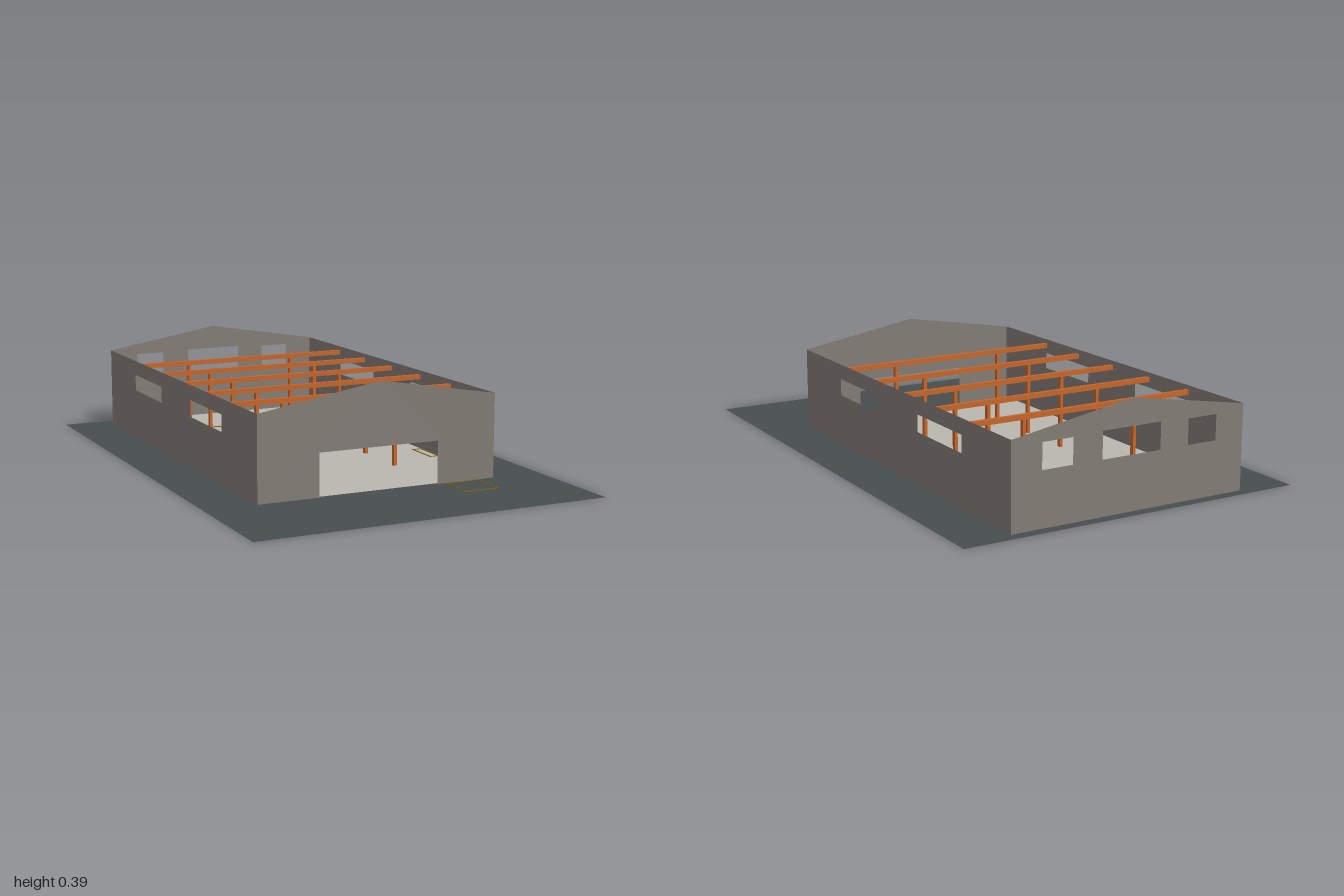
import * as THREE from 'three';

const W = 0.462, FRONT = 0.588, BACK = -0.96, EAVE = 0.31, RIDGE = 0.388;

const mat = (name, color, side = THREE.FrontSide) => {
  const m = new THREE.MeshStandardMaterial({ color, side });
  m.name = name;
  return m;
};

const rectHole = (x0, x1, y0, y1) => new THREE.Path([
  [x0, y0], [x0, y1], [x1, y1], [x1, y0],
].map(([x, y]) => new THREE.Vector2(x, y)));

const panel = (points, holes = []) => {
  const s = new THREE.Shape(points.map(([x, y]) => new THREE.Vector2(x, y)));
  s.holes.push(...holes);
  return new THREE.ShapeGeometry(s);
};

export function createModel() {
  const model = new THREE.Group();
  model.name = 'hall';
  const asphalt = mat('asphalt', 0x474e4d, THREE.DoubleSide);
  const concrete = mat('concrete', 0xbab6b0, THREE.DoubleSide);
  const wall = mat('wall', 0x827b75, THREE.DoubleSide);
  const wood = mat('orange frame', 0xc4652a);
  const olive = mat('olive marking', 0x7a6218);

  const add = (parent, name, geometry, material, x = 0, y = 0, z = 0) => {
    const m = new THREE.Mesh(geometry, material);
    m.name = name;
    m.position.set(x, y, z);
    parent.add(m);
    return m;
  };
  const group = (name) => {
    const g = new THREE.Group();
    g.name = name;
    model.add(g);
    return g;
  };

  // Yard and hall floor
  add(model, 'yard', new THREE.PlaneGeometry(1.31, 2).rotateX(-Math.PI / 2), asphalt);
  add(model, 'floor', new THREE.PlaneGeometry(W * 2, FRONT - BACK).rotateX(-Math.PI / 2),
    concrete, 0, 0.003, (FRONT + BACK) / 2);

  // Front gable with a door notch, back gable with three windows
  const roofline = [[W, 0], [W, EAVE], [0, RIDGE], [-W, EAVE], [-W, 0]];
  const door = [[-0.231, 0], [-0.231, 0.157], [0.231, 0.157], [0.231, 0]];
  add(model, 'frontWall', panel([...roofline, ...door]), wall, 0, 0, FRONT);
  add(model, 'backWall', panel(roofline, [
    rectHole(-0.347, -0.23, 0.195, 0.287),
    rectHole(-0.116, 0.116, 0.195, 0.292),
    rectHole(0.23, 0.347, 0.195, 0.287),
  ]), wall, 0, 0, BACK);

  // Side walls, each with two window bands
  const sideWall = panel([[BACK, 0], [FRONT, 0], [FRONT, EAVE], [BACK, EAVE]], [
    rectHole(-0.03, 0.275, 0.19, 0.253),
    rectHole(-0.647, -0.34, 0.19, 0.253),
  ]).rotateY(-Math.PI / 2);
  add(model, 'leftWall', sideWall, wall, W);
  add(model, 'rightWall', sideWall, wall, -W);

  // Five portal frames: a cross beam on two posts
  const frames = group('frames');
  const beam = new THREE.BoxGeometry(0.922, 0.018, 0.016);
  const post = new THREE.BoxGeometry(0.012, 0.28, 0.016);
  for (let i = 0; i < 5; i++) {
    const z = 0.275 - i * 0.2325;
    add(frames, 'beam', beam, wood, 0, 0.285, z);
    for (const x of [-0.228, 0.228]) add(frames, 'post', post, wood, x, 0.14, z);
  }

  // Thin rectangular floor markings
  const markings = group('markings');
  const t = 0.005;
  const marking = (x0, x1, z0, z1, edge = t) => {
    const y = 0.005, cx = (x0 + x1) / 2, cz = (z0 + z1) / 2;
    const bar = (w, d, x, z) => add(markings, 'markingBar', new THREE.BoxGeometry(w, 0.002, d), olive, x, y, z);
    bar(x1 - x0, edge, cx, z0 + edge / 2);
    bar(x1 - x0, t, cx, z1 - t / 2);
    bar(t, z1 - z0, x0 + t / 2, cz);
    bar(t, z1 - z0, x1 - t / 2, cz);
  };
  marking(-0.218, -0.087, -0.675, -0.535, 0.012);
  marking(0.083, 0.217, -0.675, -0.535, 0.012);
  marking(0.417, 0.458, 0.072, 0.212);
  marking(0.252, 0.386, 0.608, 0.747);

  return model;
}
